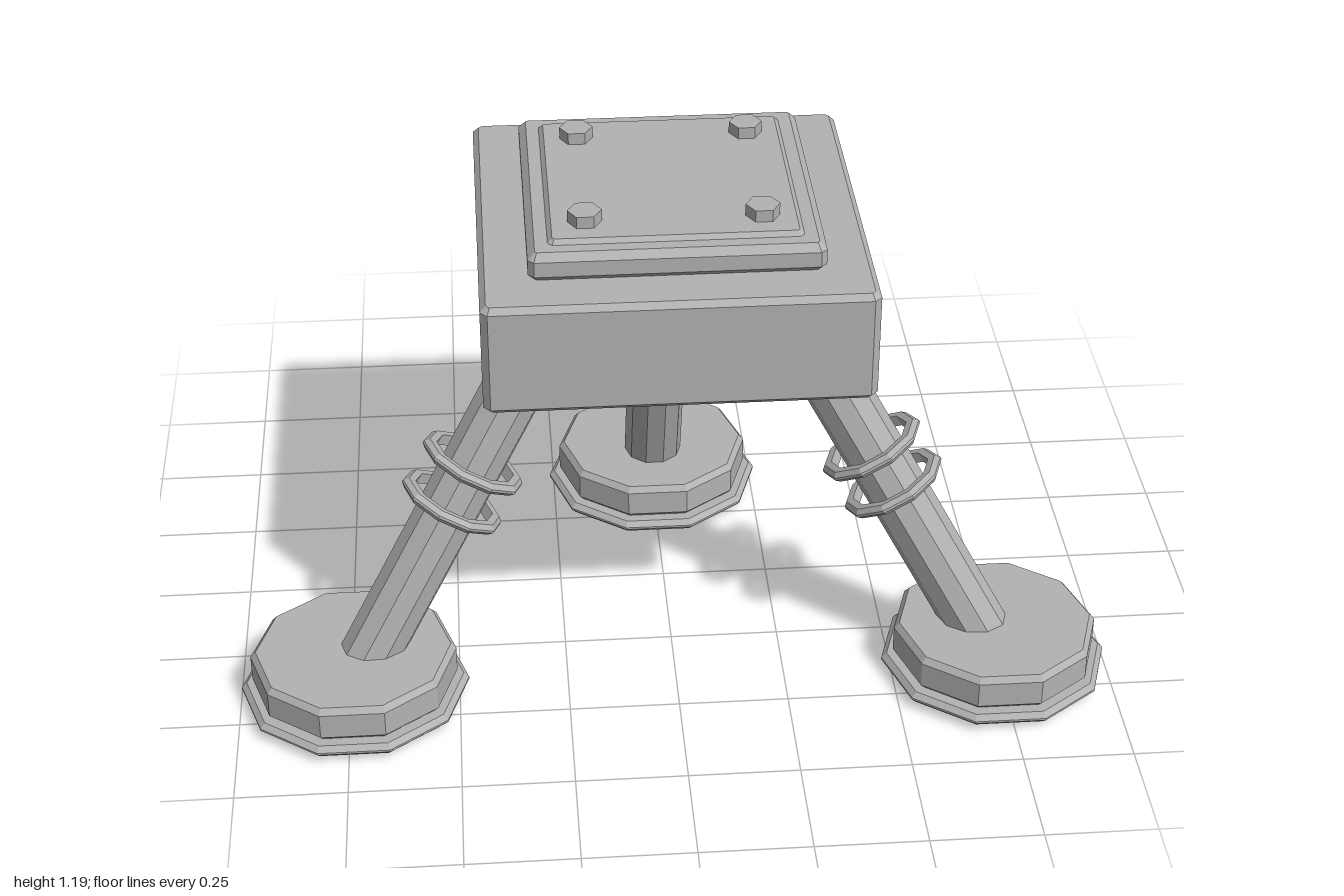
import * as THREE from 'three';

const grey = new THREE.MeshStandardMaterial({ color: 0xb2b2b2, flatShading: true });
grey.name = 'plain grey';

const SIDES = 10;
const SPIN = Math.PI / SIDES; // turns a corner towards +x
const MID_Z = 0.112;          // centre of the body

function part(name, geometry) {
  const mesh = new THREE.Mesh(geometry, grey);
  mesh.name = name;
  return mesh;
}

// Square block with chamfered edges, between heights y0 and y1
function slab(name, half, y0, y1, bevel, cut) {
  const h = half - bevel;
  const corners = [
    [h - cut, -h], [h, cut - h], [h, h - cut], [h - cut, h],
    [cut - h, h], [-h, h - cut], [-h, cut - h], [cut - h, -h],
  ];
  const shape = new THREE.Shape(corners.map(([x, y]) => new THREE.Vector2(x, y)));
  const geometry = new THREE.ExtrudeGeometry(shape, {
    depth: y1 - y0 - 2 * bevel,
    bevelEnabled: true, bevelSegments: 1, bevelSize: bevel, bevelThickness: bevel,
  });
  geometry.rotateX(-Math.PI / 2).translate(0, y0 + bevel, MID_Z);
  return part(name, geometry);
}

function turned(name, profile) {
  const points = profile.map(([r, y]) => new THREE.Vector2(r, y));
  return part(name, new THREE.LatheGeometry(points, SIDES).rotateY(SPIN));
}

// Leg with its foot pad; foot and hip are points on the leg axis
function makeLeg(name, foot, hip) {
  const leg = new THREE.Group();
  leg.name = name;

  const axis = hip.clone().sub(foot);
  const length = axis.length();
  const strut = new THREE.Group();
  strut.name = 'strut';
  strut.position.copy(foot);
  strut.quaternion.setFromUnitVectors(new THREE.Vector3(0, 1, 0), axis.clone().normalize());
  strut.add(part('legTube',
    new THREE.CylinderGeometry(0.07, 0.07, length, SIDES).rotateY(SPIN).translate(0, length / 2, 0)));

  // Two loose collars round the tube
  for (const y of [0.46, 0.55]) {
    const collar = turned('collar', [
      [0.096, -0.013], [0.113, -0.013], [0.123, -0.003], [0.123, 0.003],
      [0.113, 0.013], [0.096, 0.013], [0.096, -0.013],
    ]);
    collar.position.y = length * (y - foot.y) / (hip.y - foot.y);
    strut.add(collar);
  }

  const pad = turned('footPad', [
    [0, 0.014], [0.248, 0.014], [0.26, 0.026], [0.26, 0.031], [0.248, 0.043],
    [0.222, 0.043], [0.234, 0.055], [0.234, 0.116], [0.222, 0.13], [0, 0.13],
  ]);
  pad.position.set(foot.x, 0, foot.z);
  leg.add(strut, pad);
  return leg;
}

export function createModel() {
  const model = new THREE.Group();
  model.name = 'tripodStand';

  // Body and lid
  model.add(
    slab('body', 0.42, 0.831, 1.09, 0.013, 0.008),
    slab('lid', 0.316, 1.088, 1.155, 0.016, 0.004),
    slab('lidPanel', 0.278, 1.125, 1.165, 0.016, 0.004),
  );

  // Hexagonal bolts on the lid
  for (const x of [-0.19, 0.19]) {
    for (const z of [-0.19, 0.19]) {
      const bolt = part('bolt', new THREE.CylinderGeometry(0.037, 0.037, 0.04, 6).rotateY(Math.PI / 6));
      bolt.position.set(x, 1.172, MID_Z + z);
      model.add(bolt);
    }
  }

  // One rear leg and a mirrored front pair
  model.add(makeLeg('rearLeg', new THREE.Vector3(0, 0.036, -0.403), new THREE.Vector3(0, 0.92, -0.052)));
  for (const side of [1, -1]) {
    model.add(makeLeg(side > 0 ? 'leftLeg' : 'rightLeg',
      new THREE.Vector3(side * 0.738, 0.036, 0.402),
      new THREE.Vector3(side * 0.241, 0.92, 0.213)));
  }
  return model;
}
